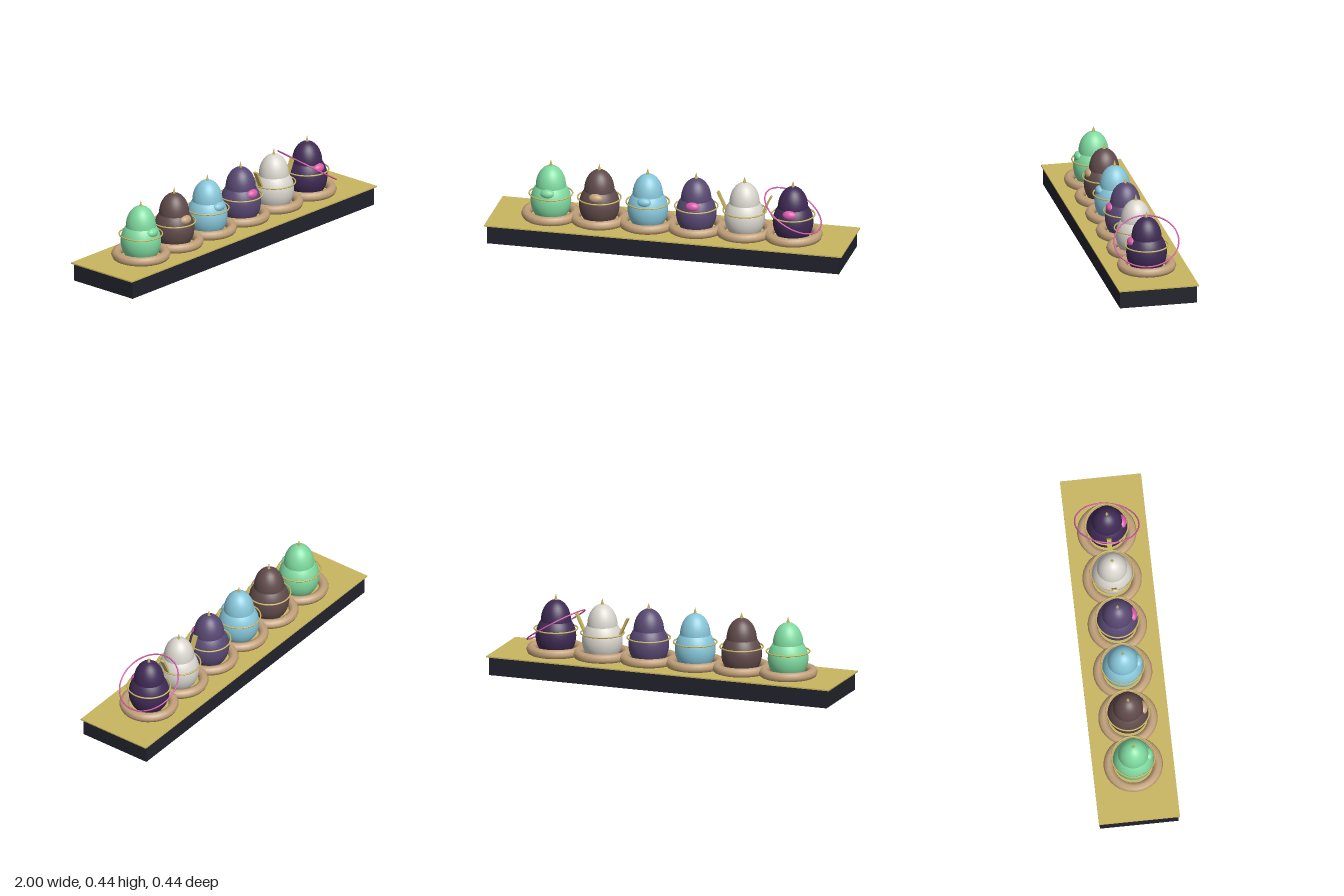
import * as THREE from 'three';

const paint = (name, color) => {
  const m = new THREE.MeshStandardMaterial({ color });
  m.name = name;
  return m;
};

export function createModel() {
  const model = new THREE.Group();
  model.name = 'eggDisplay';

  const dark = paint('charcoal', 0x22222c);
  const gold = paint('gold', 0xc9b660);
  const tan = paint('tan', 0xc2a17a);
  const green = paint('green', 0x7fd99f);
  const brown = paint('brown', 0x604a4a);
  const blue = paint('skyBlue', 0x87c6d9);
  const purple = paint('purple', 0x584872);
  const white = paint('offWhite', 0xd9d5ce);
  const plum = paint('darkPlum', 0x3f2a54);
  const pink = paint('pink', 0xdb5aac);

  const add = (parent, name, geometry, material, x = 0, y = 0, z = 0) => {
    const mesh = new THREE.Mesh(geometry, material);
    mesh.name = name;
    mesh.position.set(x, y, z);
    parent.add(mesh);
    return mesh;
  };

  // Plinth with its overhanging top plate
  add(model, 'plinth', new THREE.BoxGeometry(1.97, 0.1, 0.43), dark, 0, 0.05, 0);
  add(model, 'topPlate', new THREE.BoxGeometry(2, 0.007, 0.444), gold, 0, 0.1025, 0);

  // Shared egg parts
  const nest = new THREE.TorusGeometry(0.135, 0.027, 8, 32).rotateX(Math.PI / 2);
  const lowerShell = new THREE.SphereGeometry(1, 32, 20).scale(0.111, 0.1275, 0.111);
  const upperShell = new THREE.SphereGeometry(1, 32, 20).scale(0.083, 0.12, 0.083);
  const band = new THREE.TorusGeometry(0.118, 0.0042, 8, 40).rotateX(Math.PI / 2);
  const spike = new THREE.ConeGeometry(0.012, 0.04, 4);
  const belly = new THREE.SphereGeometry(1, 16, 12).scale(0.04, 0.027, 0.027);

  // Shell colour and front patch colour of each egg
  const eggs = [
    [green, green], [brown, tan], [blue, blue],
    [purple, pink], [white, null], [plum, pink],
  ];
  eggs.forEach(([shell, patch], i) => {
    const egg = new THREE.Group();
    egg.name = `egg${i + 1}`;
    egg.position.x = (i - 2.5) * 0.271;
    model.add(egg);

    add(egg, 'nest', nest, tan, 0, 0.125, 0);
    add(egg, 'lowerShell', lowerShell, shell, 0, 0.2, 0);
    add(egg, 'upperShell', upperShell, shell, 0, 0.282, 0);
    add(egg, 'band', band, gold, 0, 0.241, 0);
    add(egg, 'spike', spike, gold, 0, 0.415, 0);
    if (patch) add(egg, 'frontPatch', belly, patch, 0, 0.264, 0.081);

    // Pair of blades leaning outwards on the pale egg
    if (shell === white) {
      for (const s of [-1, 1]) {
        const blade = add(egg, s < 0 ? 'rightBlade' : 'leftBlade',
          new THREE.BoxGeometry(0.011, 0.115, 0.026), gold, s * 0.125, 0.283, 0);
        blade.rotation.z = -s * 0.44;
      }
    }

    // Tilted orbit ring on the darkest egg
    if (shell === plum) {
      const orbit = add(egg, 'orbitRing',
        new THREE.TorusGeometry(0.176, 0.004, 8, 48), pink, 0, 0.261, 0);
      orbit.quaternion.setFromUnitVectors(
        new THREE.Vector3(0, 0, 1), new THREE.Vector3(0.525, 0.842, 0.12).normalize());
    }
  });

  return model;
}
